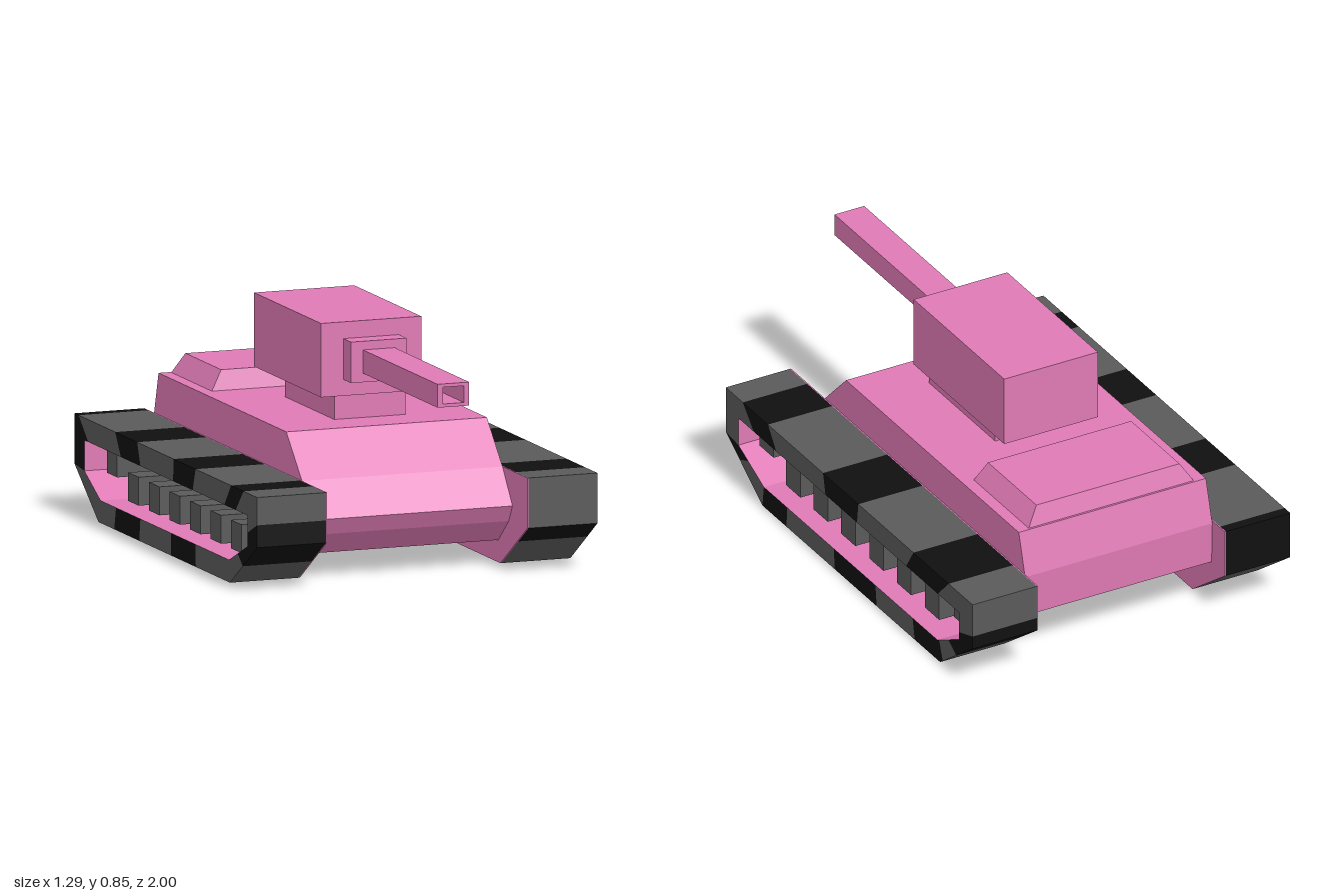
import * as THREE from 'three';

const mat = (name, color) => {
  const m = new THREE.MeshStandardMaterial({ color, flatShading: true });
  m.name = name;
  return m;
};

export function createModel() {
  const pink = mat('pink', 0xdf7ab5);
  const gray = mat('trackGray', 0x5a5a5a);
  const black = mat('trackBlack', 0x101010);
  const model = new THREE.Group();
  model.name = 'tank';

  const add = (name, geometry, material, parent = model) => {
    const mesh = new THREE.Mesh(geometry, material);
    mesh.name = name;
    parent.add(mesh);
    return mesh;
  };

  // Box given by its limits on each axis
  const box = (name, [x0, x1], [y0, y1], [z0, z1], material, parent) => {
    const g = new THREE.BoxGeometry(x1 - x0, y1 - y0, z1 - z0);
    g.translate((x0 + x1) / 2, (y0 + y1) / 2, (z0 + z1) / 2);
    return add(name, g, material, parent);
  };

  // Side profile of [z, y] points, extruded from x0 to x1
  const profile = (points, x0, x1) => {
    const shape = new THREE.Shape(points.map(([z, y]) => new THREE.Vector2(-z, y)));
    const g = new THREE.ExtrudeGeometry(shape, { depth: x1 - x0, bevelEnabled: false });
    return g.rotateY(Math.PI / 2).translate(x0, 0, 0);
  };

  // Hull
  add('hull', profile([
    [0.36, 0.5], [0.51, 0.35], [0.605, 0.225], [0.57, 0.165], [0.47, 0.08],
    [-0.75, 0.08], [-0.905, 0.18], [-0.91, 0.34], [-0.865, 0.5],
  ], -0.38, 0.38), pink);

  // Engine deck: a box whose top face is drawn in
  const deck = new THREE.BoxGeometry(0.67, 0.07, 0.39);
  const p = deck.attributes.position;
  for (let i = 0; i < p.count; i++) {
    if (p.getY(i) > 0) p.setXYZ(i, p.getX(i) * 0.868, p.getY(i), p.getZ(i) * 0.88);
  }
  deck.translate(0, 0.535, -0.662);
  add('engineDeck', deck, pink);

  // Turret
  box('turretNeck', [-0.135, 0.135], [0.5, 0.585], [-0.27, 0.2], pink);
  box('turret', [-0.19, 0.19], [0.585, 0.85], [-0.43, 0.212], pink);
  box('gunMantlet', [-0.105, 0.105], [0.643, 0.79], [0.212, 0.285], pink);

  // Hollow square barrel
  const rect = (C, w, h) => new C([[-w, -h], [w, -h], [w, h], [-w, h]]
    .map(([x, y]) => new THREE.Vector2(x, y)));
  const muzzle = rect(THREE.Shape, 0.06, 0.042);
  muzzle.holes.push(rect(THREE.Path, 0.04, 0.03));
  const barrel = new THREE.ExtrudeGeometry(muzzle, { depth: 0.715, bevelEnabled: false });
  add('gunBarrel', barrel.translate(0, 0.717, 0.285), pink);

  // Track loop, [z, y] from front top, down, back and up; inner matches outer
  const outer = [[0.75, 0.35], [0.75, 0.17], [0.49, 0], [-0.77, 0], [-1, 0.17], [-1, 0.35]];
  const inner = [[0.66, 0.27], [0.66, 0.16], [0.48, 0.08], [-0.75, 0.08], [-0.905, 0.16], [-0.905, 0.27]];
  const xIn = 0.384, xOut = 0.645;

  // Black stretches along each edge of the loop, as fractions
  const stripes = {
    left: [[], [[0, 0.38]], [[0, 0.135], [0.405, 0.643], [0.857, 1]], [[0, 0.08], [0.5, 1]],
      [[0, 0.28]], [[0.097, 0.24], [0.463, 0.606], [0.829, 0.931]]],
    right: [[[0.555, 1]], [[0, 0.53]], [[0.26, 0.45], [0.69, 0.88]], [],
      [[0, 1]], [[0, 0.023], [0.223, 0.343], [0.543, 0.663], [0.857, 0.926]]],
  };

  const mix = (a, b, t) => [a[0] + (b[0] - a[0]) * t, a[1] + (b[1] - a[1]) * t];

  const makeTrack = (side, sign) => {
    const group = new THREE.Group();
    group.name = side + 'Track';
    model.add(group);
    const faces = { gray: [], black: [], pink: [] };

    // Quad from four [x, [z, y]] corners, turned over on the mirrored side
    const quad = (list, ...c) => {
      const v = c.map(([x, [z, y]]) => [x * sign, y, z]);
      if (sign < 0) v.reverse();
      for (const i of [0, 1, 2, 0, 2, 3]) list.push(...v[i]);
    };

    outer.forEach((a, k) => {
      const n = (k + 1) % outer.length;
      const piece = (t0, t1, list) => {
        if (t1 - t0 < 1e-4) return;
        const o0 = mix(a, outer[n], t0), o1 = mix(a, outer[n], t1);
        const i0 = mix(inner[k], inner[n], t0), i1 = mix(inner[k], inner[n], t1);
        quad(list, [xOut, o0], [xOut, o1], [xOut, i1], [xOut, i0]);
        quad(list, [xOut, o0], [xIn, o0], [xIn, o1], [xOut, o1]);
      };
      let t = 0;
      for (const [s, e] of stripes[side][k]) {
        piece(t, s, faces.gray);
        piece(s, e, faces.black);
        t = e;
      }
      piece(t, 1, faces.gray);
      quad(faces.pink, [xOut, inner[k]], [xOut, inner[n]], [xIn, inner[n]], [xIn, inner[k]]);
    });

    const parts = [['treadGray', faces.gray, gray], ['treadBlack', faces.black, black],
      ['trackLining', faces.pink, pink]];
    for (const [name, list, material] of parts) {
      const g = new THREE.BufferGeometry();
      g.setAttribute('position', new THREE.Float32BufferAttribute(list, 3));
      g.computeVertexNormals();
      add(name, g, material, group);
    }

    // Inner side plate
    const plate = sign > 0 ? [0.38, xIn] : [-xIn, -0.38];
    add('trackSidePlate', profile(outer, ...plate), pink, group);

    // Square road wheels, the end ones raised
    const xs = sign > 0 ? [xIn, 0.58] : [-0.58, -xIn];
    for (const z of [0.575, 0.385, 0.19, -0.005, -0.205, -0.4, -0.6, -0.805]) {
      const y = Math.abs(z + 0.115) > 0.6 ? 0.158 : 0.092;
      box('roadWheel', xs, [y, y + 0.102], [z - 0.05, z + 0.05], gray, group);
    }
  };
  makeTrack('left', 1);
  makeTrack('right', -1);

  return model;
}
